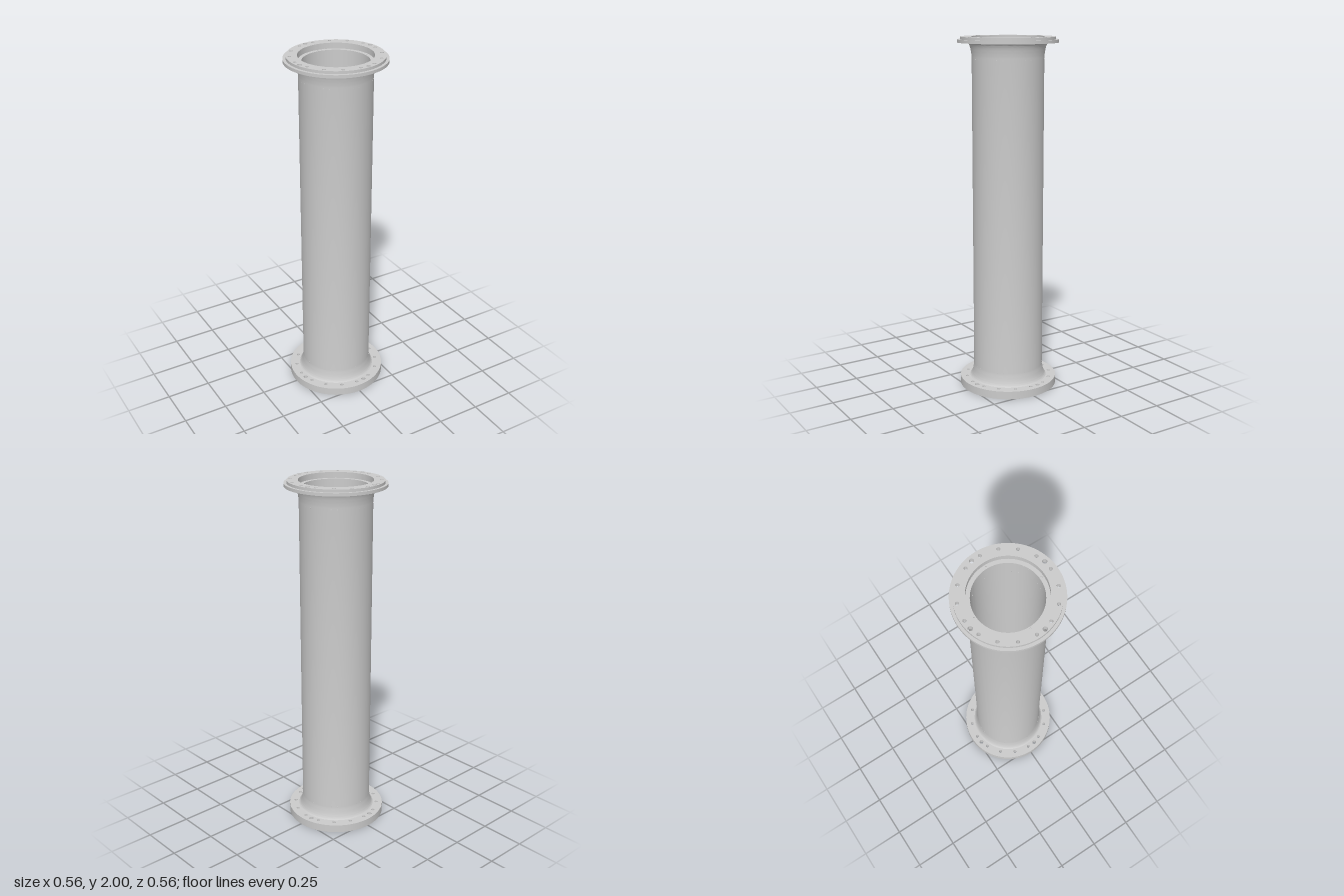
import * as THREE from 'three';
import { toCreasedNormals } from 'three/addons/utils/BufferGeometryUtils.js';

const material = new THREE.MeshStandardMaterial({ color: 0xcccccc });

function add(parent, name, geometry) {
  const mesh = new THREE.Mesh(geometry, material);
  mesh.name = name;
  parent.add(mesh);
  return mesh;
}

// Evenly spaced holes on a circle; angles run from +x towards +z
function holeRing(count, circle, radius, startDeg = 0) {
  return Array.from({ length: count }, (_, i) => {
    const a = THREE.MathUtils.degToRad(startDeg) + (i / count) * Math.PI * 2;
    return { x: Math.cos(a) * circle, z: Math.sin(a) * circle, r: radius };
  });
}

// Flat horizontal ring from y0 to y1, pierced by holes
function ring(inner, outer, y0, y1, holes) {
  const shape = new THREE.Shape().absarc(0, 0, outer, 0, Math.PI * 2);
  for (const h of [{ x: 0, z: 0, r: inner }, ...holes]) {
    shape.holes.push(new THREE.Path().absarc(h.x, h.z, h.r, 0, Math.PI * 2, true));
  }
  const geo = new THREE.ExtrudeGeometry(shape, {
    depth: y1 - y0, bevelEnabled: false, curveSegments: 72,
  });
  geo.rotateX(Math.PI / 2).translate(0, y1, 0);
  return toCreasedNormals(geo, 0.5);
}

export function createModel() {
  const model = new THREE.Group();
  model.name = 'flangedPipe';

  const bore = 0.18, wall = 0.199, recess = 0.202, rim = 0.278;

  // Pipe wall with a flared neck at each end
  const flare = (a, b, c) => new THREE.QuadraticBezierCurve(
    new THREE.Vector2(...a), new THREE.Vector2(...b), new THREE.Vector2(...c)).getPoints(12);
  const profile = [
    new THREE.Vector2(bore, 0.038),
    new THREE.Vector2(0.222, 0.038),
    ...flare([0.222, 0.045], [0.206, 0.055], [wall, 0.12]),
    ...flare([wall, 1.89], [0.205, 1.96], [0.222, 1.968]),
    new THREE.Vector2(0.222, 1.972),
    new THREE.Vector2(recess, 1.972),
    new THREE.Vector2(recess, 1.96),
    new THREE.Vector2(bore, 1.96),
    new THREE.Vector2(bore, 0.038),
  ];
  add(model, 'pipe', toCreasedNormals(new THREE.LatheGeometry(profile, 96), 0.5));

  // Bolt holes plus four larger dowel holes, shared by both flanges
  const bolts = [...holeRing(16, 0.242, 0.0095), ...holeRing(4, 0.245, 0.0125, -11.3)];
  add(model, 'bottomFlange', ring(recess, rim, 0, 0.045, bolts));
  add(model, 'topFlange', ring(recess, rim, 1.968, 1.985, bolts));
  add(model, 'topRaisedFace', ring(recess, 0.262, 1.985, 2, bolts));

  // Recessed seats inside each end with four small holes
  const seatHoles = holeRing(4, 0.19, 0.005);
  add(model, 'topSeat', ring(bore, recess, 1.96, 1.968, seatHoles));
  add(model, 'bottomSeat', ring(bore, recess, 0.03, 0.038, seatHoles));

  // Small radial pins set flush through the neck walls
  const pins = new THREE.Group();
  pins.name = 'neckPins';
  model.add(pins);
  const pinGeo = new THREE.CylinderGeometry(0.003, 0.003, 0.022, 10).rotateZ(Math.PI / 2);
  for (const y of [0.12, 1.88]) {
    for (let i = 0; i < 8; i++) {
      for (const side of [-1, 1]) {
        const a = (i / 8) * Math.PI * 2 + side * 0.085;
        const pin = add(pins, 'neckPin', pinGeo);
        pin.position.set(Math.cos(a) * 0.1895, y, -Math.sin(a) * 0.1895);
        pin.rotation.y = a;
      }
    }
  }
  return model;
}
